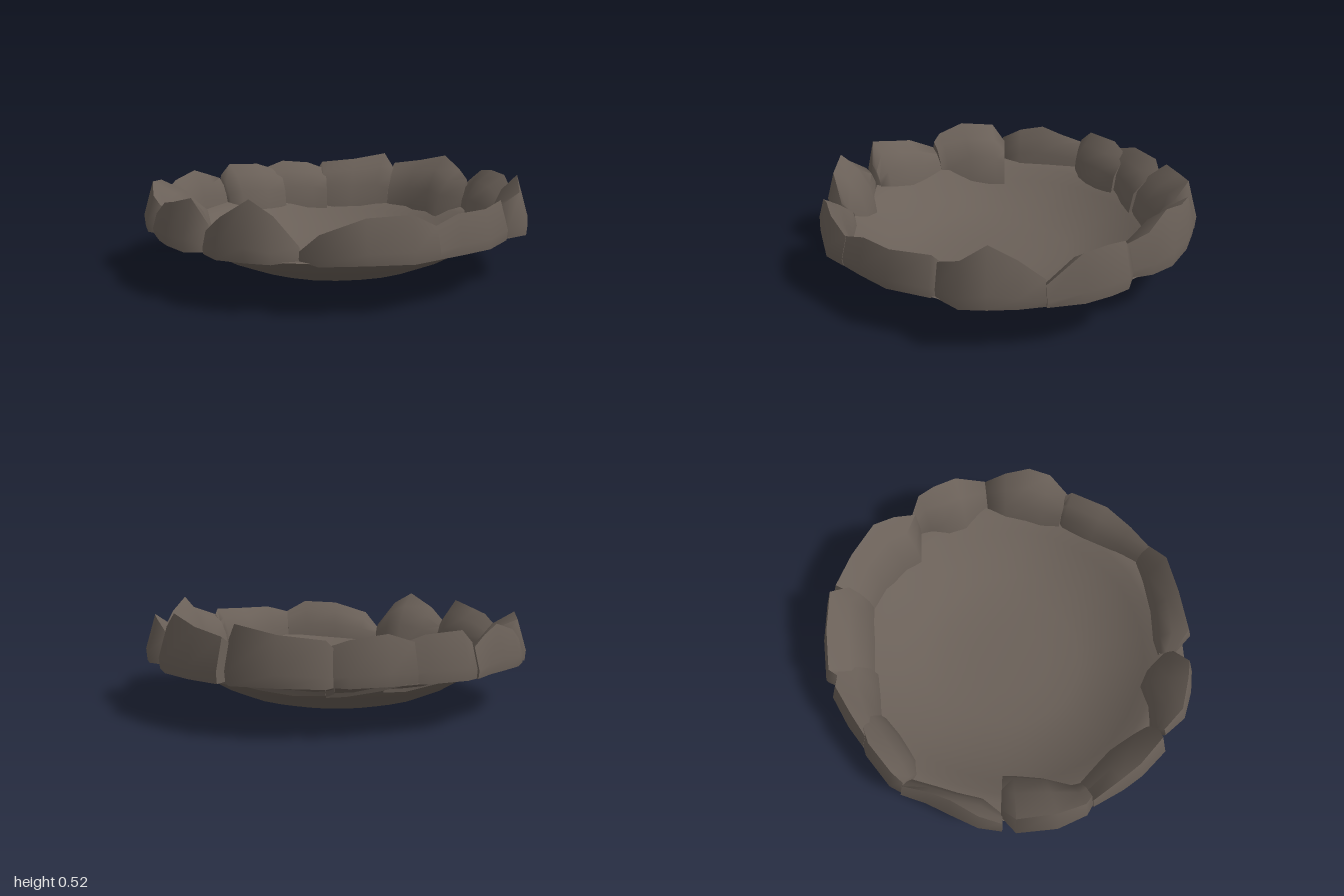
import * as THREE from 'three';
import { toCreasedNormals } from 'three/addons/utils/BufferGeometryUtils.js';

// Bowl profile: radius, height
const PROFILE = [[0, 0.004], [0.2, 0.005], [0.38, 0.018], [0.5, 0.05], [0.62, 0.1], [0.73, 0.165], [0.8, 0.215], [0.85, 0.236], [0.94, 0.243]];

function bowlHeight(r) {
  for (let i = 1; i < PROFILE.length; i++) {
    const [r0, y0] = PROFILE[i - 1], [r1, y1] = PROFILE[i];
    if (r <= r1) return y0 + (y1 - y0) * (r - r0) / (r1 - r0);
  }
  return 0.243;
}

// Rim rocks, each a run of sections: angle in degrees (+x towards +z), outer radius, inner radius, crest height
const ROCKS = {
  rockFront: [[50, 0.97, 0.88, 0.38], [58, 1.0, 0.85, 0.445], [70, 0.98, 0.82, 0.435], [82, 0.99, 0.8, 0.37], [88, 0.9, 0.82, 0.28]],
  rockFrontLeft: [[16, 0.93, 0.82, 0.4], [18, 0.95, 0.8, 0.43], [31, 0.97, 0.8, 0.42], [42, 0.96, 0.84, 0.42], [51, 0.97, 0.89, 0.38]],
  rockLeft: [[-13, 0.98, 0.85, 0.36], [-6, 0.99, 0.8, 0.45], [2, 1.0, 0.79, 0.52], [9, 1.01, 0.78, 0.45], [16.5, 0.94, 0.8, 0.4]],
  rockLeftRear: [[-42, 0.92, 0.84, 0.38], [-37, 0.98, 0.82, 0.46], [-31, 0.99, 0.77, 0.47], [-23, 1.0, 0.77, 0.46], [-13, 0.99, 0.86, 0.34]],
  rockBackLeft: [[-79, 0.99, 0.77, 0.44], [-68, 0.985, 0.76, 0.47], [-56, 0.985, 0.74, 0.515], [-48, 0.96, 0.72, 0.44], [-41, 0.91, 0.84, 0.4]],
  rockBack: [[-110, 0.93, 0.75, 0.4], [-108, 0.975, 0.73, 0.44], [-95, 0.98, 0.72, 0.46], [-83, 1.0, 0.75, 0.5], [-78, 0.92, 0.77, 0.42]],
  rockBackRight: [[-133, 0.93, 0.8, 0.42], [-125, 0.94, 0.76, 0.46], [-114, 0.96, 0.72, 0.44], [-107, 0.92, 0.71, 0.4]],
  rockRightRear: [[-152, 0.96, 0.84, 0.4], [-148, 0.97, 0.78, 0.46], [-136, 0.945, 0.74, 0.45], [-127, 0.9, 0.75, 0.4]],
  rockRight: [[-184, 0.99, 0.9, 0.36], [-177, 0.985, 0.83, 0.42], [-168, 0.955, 0.83, 0.46], [-160, 0.945, 0.84, 0.42], [-152, 0.97, 0.87, 0.38]],
  rockRightFront: [[148, 0.96, 0.83, 0.38], [151, 0.995, 0.82, 0.42], [160, 1.01, 0.73, 0.47], [172, 1.0, 0.69, 0.45], [176.5, 0.92, 0.69, 0.36]],
  rockFrontRight: [[117, 0.93, 0.85, 0.36], [121, 1.0, 0.82, 0.48], [131, 0.99, 0.78, 0.44], [138, 0.98, 0.79, 0.42], [148, 0.97, 0.83, 0.34]],
  rockFrontMiddle: [[88, 0.9, 0.84, 0.3], [94, 0.99, 0.77, 0.44], [101, 1.0, 0.75, 0.505], [109, 1.01, 0.82, 0.42], [116, 0.96, 0.87, 0.34]],
};

// Loft a rock through its sections, open where it sits on the bowl, and cap both ends
function rockGeometry(sections) {
  const rings = sections.map(([deg, ro, ri, h]) => {
    const a = THREE.MathUtils.degToRad(deg);
    const rise = h - 0.24;
    const crest = ro - 0.22 * rise;
    const inward = (t) => crest + (ri - crest) * t;
    const points = [
      [Math.max(ro - 0.09, ri), 0.24],
      [ro - 0.005, 0.238],
      [ro, 0.24 + rise * 0.25],
      [crest, h],
      [inward(0.5), h - rise * 0.28],
      [inward(0.85), 0.24 + rise * 0.3],
      [ri, bowlHeight(ri) - 0.004],
    ];
    return points.map(([r, y]) => new THREE.Vector3(r * Math.cos(a), y, r * Math.sin(a)));
  });
  const n = rings[0].length;
  const tris = [];
  for (let i = 0; i < rings.length - 1; i++) {
    for (let j = 0; j < n - 1; j++) {
      const a = rings[i][j], b = rings[i][j + 1], c = rings[i + 1][j], d = rings[i + 1][j + 1];
      tris.push(a, b, c, b, d, c);
    }
  }
  const first = rings[0], last = rings[rings.length - 1];
  for (let j = 1; j < n - 1; j++) {
    tris.push(first[0], first[j + 1], first[j]);
    tris.push(last[0], last[j], last[j + 1]);
  }
  const geometry = new THREE.BufferGeometry().setFromPoints(tris);
  return toCreasedNormals(geometry, 1.15);
}

// Shallow dish with a slightly uneven wall, its floor set a little forward
function bowlGeometry() {
  const geometry = new THREE.LatheGeometry(PROFILE.map(([r, y]) => new THREE.Vector2(r, y)), 28);
  const p = geometry.attributes.position;
  for (let i = 0; i < p.count; i++) {
    const x = p.getX(i), z = p.getZ(i);
    const a = Math.atan2(z, x), r = Math.hypot(x, z);
    const s = 1 + 0.008 * r * (Math.sin(5 * a + 1) + Math.sin(9 * a));
    p.setX(i, x * s);
    p.setZ(i, z * s + 0.025 * (1 - r ** 6));
  }
  return toCreasedNormals(geometry, 0.9);
}

export function createModel() {
  const model = new THREE.Group();
  model.name = 'crater';
  const stone = new THREE.MeshStandardMaterial({ color: 0x6a6058, side: THREE.DoubleSide });
  stone.name = 'brown grey stone';

  const add = (name, geometry) => {
    const mesh = new THREE.Mesh(geometry, stone);
    mesh.name = name;
    model.add(mesh);
  };
  add('bowl', bowlGeometry());
  for (const [name, sections] of Object.entries(ROCKS)) add(name, rockGeometry(sections));
  return model;
}
